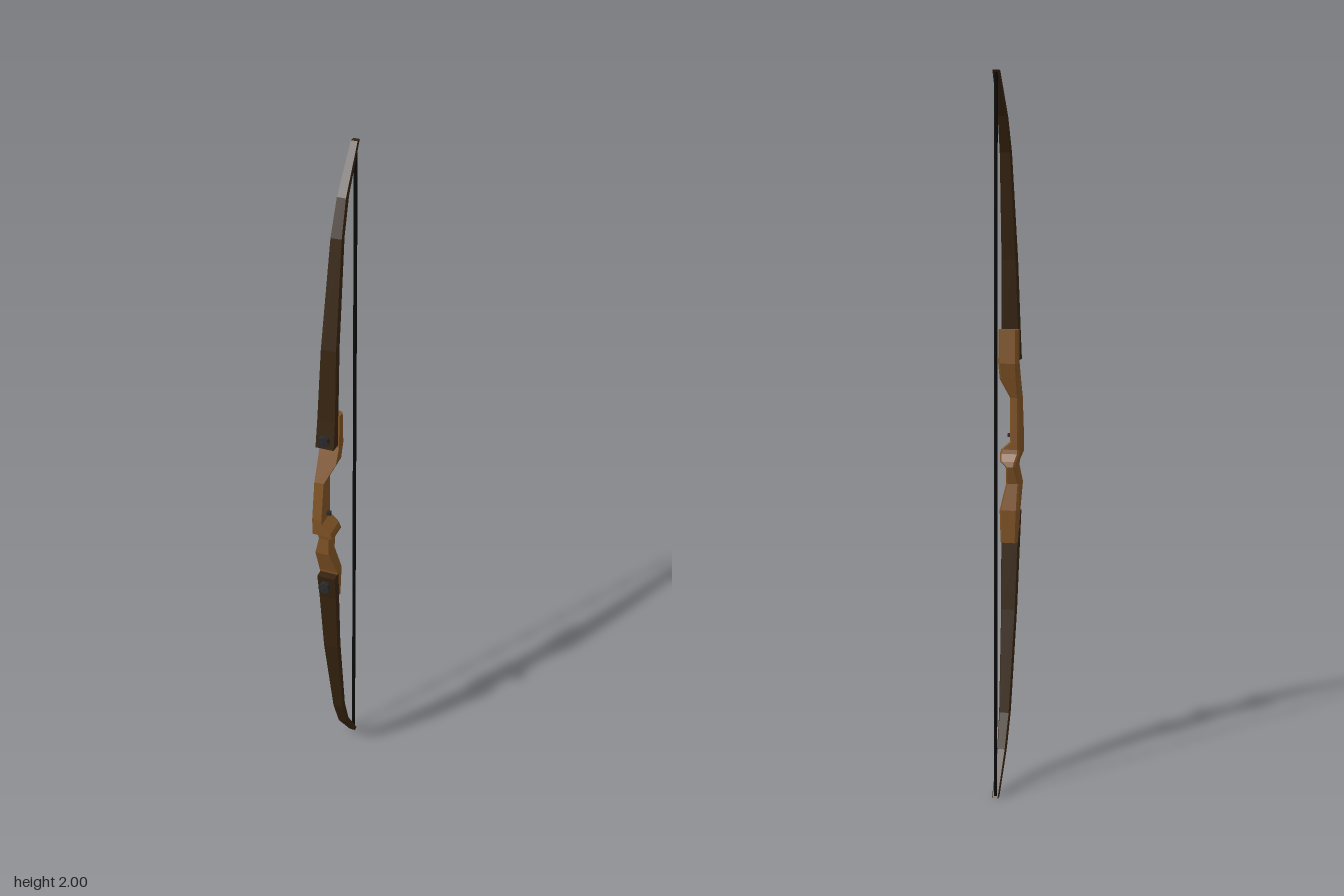
import * as THREE from 'three';

const mat = (color) => new THREE.MeshStandardMaterial({ color, flatShading: true });

// Lofts chamfered-back sections [y, zBack, zFront, xMin, xMax], listed from bottom to top
function loft(sections, chamfer) {
  const pos = [], idx = [], n = 6;
  for (const [y, zb, zf, x0, x1] of sections) {
    const c = Math.min(chamfer, (x1 - x0) * 0.25);
    pos.push(x1, y, zf, x1, y, zb + c, x1 - c, y, zb, x0 + c, y, zb, x0, y, zb + c, x0, y, zf);
  }
  for (let s = 0; s < sections.length - 1; s++) {
    for (let i = 0; i < n; i++) {
      const a = s * n + i, b = s * n + (i + 1) % n;
      idx.push(a, b, b + n, a, b + n, a + n);
    }
  }
  const top = (sections.length - 1) * n;
  for (let i = 1; i < n - 1; i++) {
    idx.push(0, i + 1, i);
    idx.push(top, top + i, top + i + 1);
  }
  const g = new THREE.BufferGeometry();
  g.setAttribute('position', new THREE.Float32BufferAttribute(pos, 3));
  g.setIndex(idx);
  const flat = g.toNonIndexed();
  flat.computeVertexNormals();
  return flat;
}

export function createModel() {
  const group = new THREE.Group();
  const add = (name, geometry, material, parent = group) => {
    const m = new THREE.Mesh(geometry, material);
    m.name = name;
    parent.add(m);
    return m;
  };
  const wood = mat(0x7d5124), darkWood = mat(0x35230f);
  const metal = mat(0x29292b), black = mat(0x0a0a0a);

  // Carved riser with a window cut out on its left side above the arrow shelf
  add('riser', loft([
    [0.695, 0.045, 0.07, -0.024, 0.024],
    [0.79, 0.041, 0.08, -0.028, 0.026],
    [0.865, 0.055, 0.105, -0.03, 0.01],
    [0.915, 0.04, 0.103, -0.02, 0.008],
    [0.93, 0.045, 0.105, -0.022, 0.026],
    [0.95, 0.06, 0.133, -0.027, 0.029],
    [0.962, 0.063, 0.133, -0.027, 0.026],
    [0.985, 0.063, 0.133, -0.027, 0.0],
    [1.0, 0.063, 0.133, -0.027, 0.0],
    [1.11, 0.063, 0.115, -0.027, 0.0],
    [1.165, 0.048, 0.093, -0.026, 0.027],
    [1.21, 0.037, 0.075, -0.026, 0.029],
    [1.305, 0.042, 0.07, -0.026, 0.029],
  ], 0.006), wood);

  // Small arrow rest beside the window
  add('arrowRest', new THREE.BoxGeometry(0.014, 0.01, 0.012), metal).position.set(0.004, 1.0, 0.09);

  // Limb sections by distance from mid height: [d, zBack, zFront, half width]
  const profile = [
    [0.218, 0.071, 0.105, 0.026],
    [0.3, 0.065, 0.092, 0.025],
    [0.5, 0.045, 0.072, 0.021],
    [0.79, -0.007, 0.015, 0.015],
    [0.885, -0.046, -0.022, 0.012],
    [1.0, -0.127, -0.11, 0.009],
  ];
  for (const side of [1, -1]) {
    const label = side > 0 ? 'upper' : 'lower';
    const tilt = side * 0.0075;
    const sections = profile.map(([d, zb, zf, w]) =>
      [1 + side * d, zb + tilt * d, zf + tilt * d, -w, w]);
    if (side < 0) sections.reverse();
    add(label + 'Limb', loft(sections, 0.002), darkWood);

    // Limb bolt: stem, knob and tip
    const bolt = new THREE.Group();
    bolt.name = label + 'LimbBolt';
    bolt.position.set(0, 1 + side * 0.245, 0);
    group.add(bolt);
    for (const [name, r, len, z] of [
      ['boltStem', 0.009, 0.03, 0.1], ['boltKnob', 0.016, 0.016, 0.114], ['boltTip', 0.005, 0.008, 0.124],
    ]) {
      const part = add(name, new THREE.CylinderGeometry(r, r, len, 8), metal, bolt);
      part.rotation.x = Math.PI / 2;
      part.position.z = z;
    }
  }

  // Bowstring, leaning slightly back towards the lower tip
  const a = new THREE.Vector3(0, 0.006, -0.128), b = new THREE.Vector3(0, 1.994, -0.113);
  const string = add('bowstring', new THREE.CylinderGeometry(0.005, 0.005, a.distanceTo(b), 6), black);
  string.position.copy(a).add(b).multiplyScalar(0.5);
  string.quaternion.setFromUnitVectors(new THREE.Vector3(0, 1, 0), b.clone().sub(a).normalize());

  return group;
}
